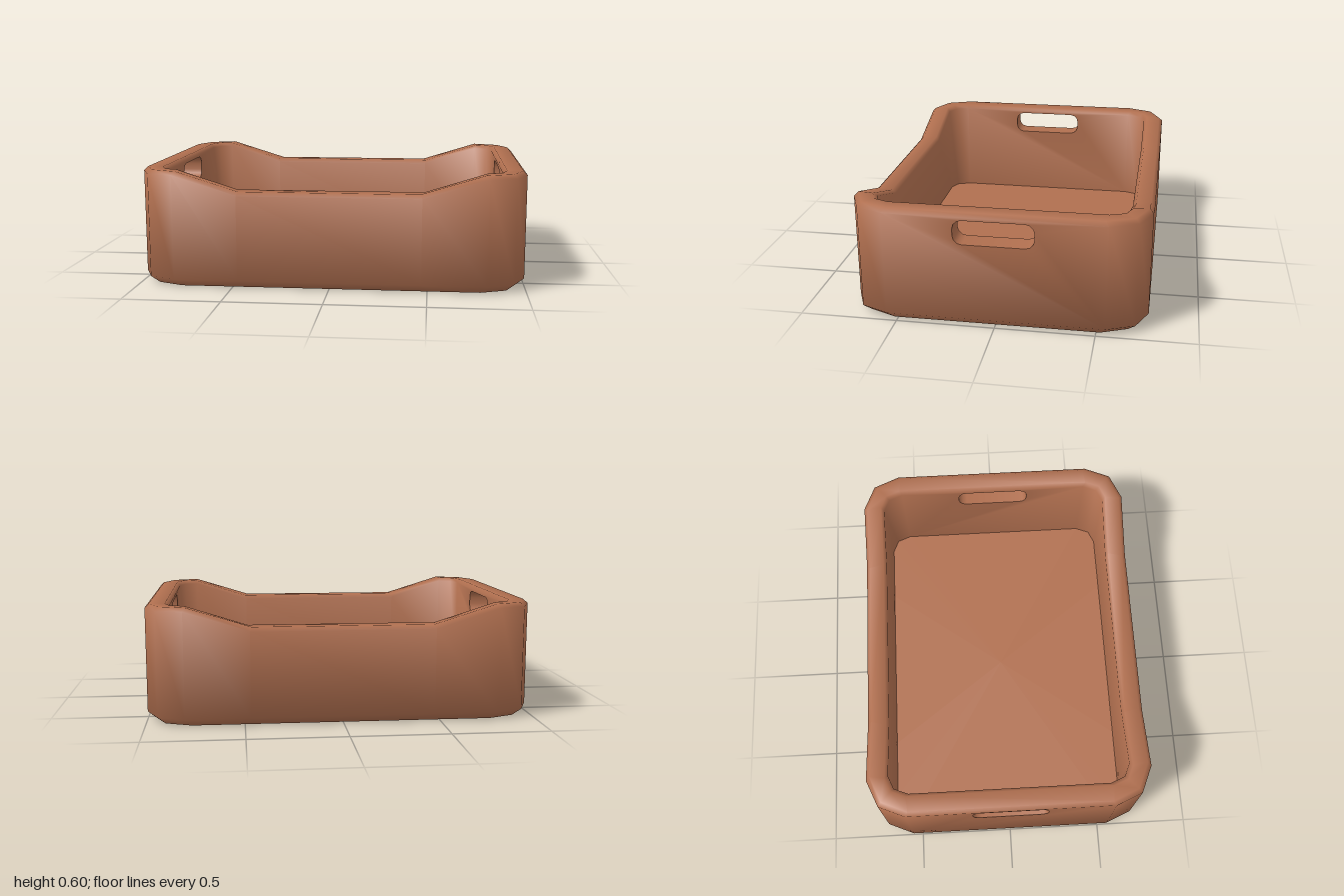
import * as THREE from 'three';

const terracotta = new THREE.MeshStandardMaterial({ color: 0xb06f4f });
terracotta.name = 'terracotta';

const FLOOR = 0.05, TOP = 0.6, DIP = 0.5;

// Footprint of 16 points from one corner (x, z), running from +x towards +z
function footprint(corner) {
  const back = [...corner].reverse();
  return [
    ...corner,
    ...back.map(([x, z]) => [-x, z]),
    ...corner.map(([x, z]) => [-x, -z]),
    ...back.map(([x, z]) => [x, -z]),
  ];
}
const outer = footprint([[1, 0.55], [0.94, 0.69], [0.8, 0.75], [0.47, 0.75]]);
const inner = footprint([[0.88, 0.53], [0.85, 0.605], [0.78, 0.635], [0.47, 0.635]]);
const N = outer.length;
const rim = (i) => (i % 4 === 3 && i % 8 === 3) || i % 8 === 4 ? DIP : TOP;

// Ring of vertices: footprint moved in by d, at a height that may vary
function ring(points, d, height) {
  return points.map(([x, z], i) => [x * (1 - d), height(i), z * (1 - d / 0.75)]);
}

// Handle outline (z, y), counter-clockwise
function handleOutline() {
  const r = 0.045, out = [];
  for (let c = 0; c < 4; c++) {
    const cz = (c === 0 || c === 3 ? 1 : -1) * (0.2 - r);
    const cy = c < 2 ? 0.565 - r : 0.44 + r;
    for (let k = 0; k < 4; k++) {
      const a = (c + k / 3) * Math.PI / 2;
      out.push([cz + r * Math.cos(a), cy + r * Math.sin(a)]);
    }
  }
  return out;
}

// Indexed geometry with angle-weighted smooth normals
function smoothGeometry(verts, faces) {
  const v = verts.map((p) => new THREE.Vector3(...p));
  const normals = v.map(() => new THREE.Vector3());
  for (const f of faces) {
    const n = new THREE.Vector3().crossVectors(v[f[1]].clone().sub(v[f[0]]), v[f[2]].clone().sub(v[f[0]])).normalize();
    for (let k = 0; k < 3; k++) {
      const a = v[f[(k + 1) % 3]].clone().sub(v[f[k]]);
      const b = v[f[(k + 2) % 3]].clone().sub(v[f[k]]);
      normals[f[k]].addScaledVector(n, a.angleTo(b));
    }
  }
  const g = new THREE.BufferGeometry();
  g.setAttribute('position', new THREE.Float32BufferAttribute(verts.flat(), 3));
  g.setAttribute('normal', new THREE.Float32BufferAttribute(normals.flatMap((n) => n.normalize().toArray()), 3));
  g.setIndex(faces.flat());
  return g;
}

// Underside, outer wall, rim and inner wall as one smooth skin
function shellGeometry() {
  const rings = [
    ring(outer, 0.04, () => 0),
    ring(outer, 0, () => 0.04),
    ring(outer, 0, (i) => rim(i) - 0.02),
    ring(outer, 0.02, rim),
    ring(inner, -0.02, rim),
    ring(inner, 0, (i) => rim(i) - 0.02),
    ring(inner, 0, () => FLOOR),
  ];
  const verts = rings.flat(), faces = [];
  for (let r = 0; r < rings.length - 1; r++) {
    for (let i = 0; i < N; i++) {
      const j = (i + 1) % N;
      const [a, b, c, d] = [r * N + i, r * N + j, (r + 1) * N + j, (r + 1) * N + i];
      if (i % 8 === 7 && (r === 1 || r === 5)) {
        // End wall with the handle cut out
        const x = verts[a][0];
        const facing = Math.sign(x) * (r === 1 ? 1 : -1);
        const hole = handleOutline();
        const start = verts.length;
        hole.forEach(([z, y]) => verts.push([x, y, z]));
        const ids = [a, b, c, d, ...hole.map((_, k) => start + k)];
        const flat = ids.map((id) => new THREE.Vector2(verts[id][2], verts[id][1]));
        for (const t of THREE.ShapeUtils.triangulateShape(flat.slice(0, 4), [flat.slice(4)])) {
          const [p, q, s] = t.map((k) => flat[k]);
          const nx = (q.y - p.y) * (s.x - p.x) - (q.x - p.x) * (s.y - p.y);
          const f = t.map((k) => ids[k]);
          faces.push(nx * facing > 0 ? f : f.reverse());
        }
      } else {
        faces.push([a, c, b], [a, d, c]);
      }
    }
  }
  // Underside
  const centre = verts.push([0, 0, 0]) - 1;
  for (let i = 0; i < N; i++) faces.push([centre, i, (i + 1) % N]);
  return smoothGeometry(verts, faces);
}

function floorGeometry() {
  const verts = [...ring(inner, 0, () => FLOOR), [0, FLOOR, 0]];
  return smoothGeometry(verts, inner.map((_, i) => [i, N, (i + 1) % N]));
}

// Lining of a handle slot through one end wall
function slotGeometry(x0, x1) {
  const hole = handleOutline(), n = hole.length, faces = [];
  const verts = [x0, x1].flatMap((x) => hole.map(([z, y]) => [x, y, z]));
  for (let k = 0; k < n; k++) {
    const m = (k + 1) % n;
    faces.push([k, m, n + m], [k, n + m, n + k]);
  }
  return smoothGeometry(verts, faces);
}

export function createModel() {
  const group = new THREE.Group();
  group.name = 'openCrate';
  const add = (name, geometry) => {
    const mesh = new THREE.Mesh(geometry, terracotta);
    mesh.name = name;
    group.add(mesh);
  };
  add('crateShell', shellGeometry());
  add('crateFloor', floorGeometry());
  add('leftHandleSlot', slotGeometry(0.88, 1));
  add('rightHandleSlot', slotGeometry(-1, -0.88));
  return group;
}
